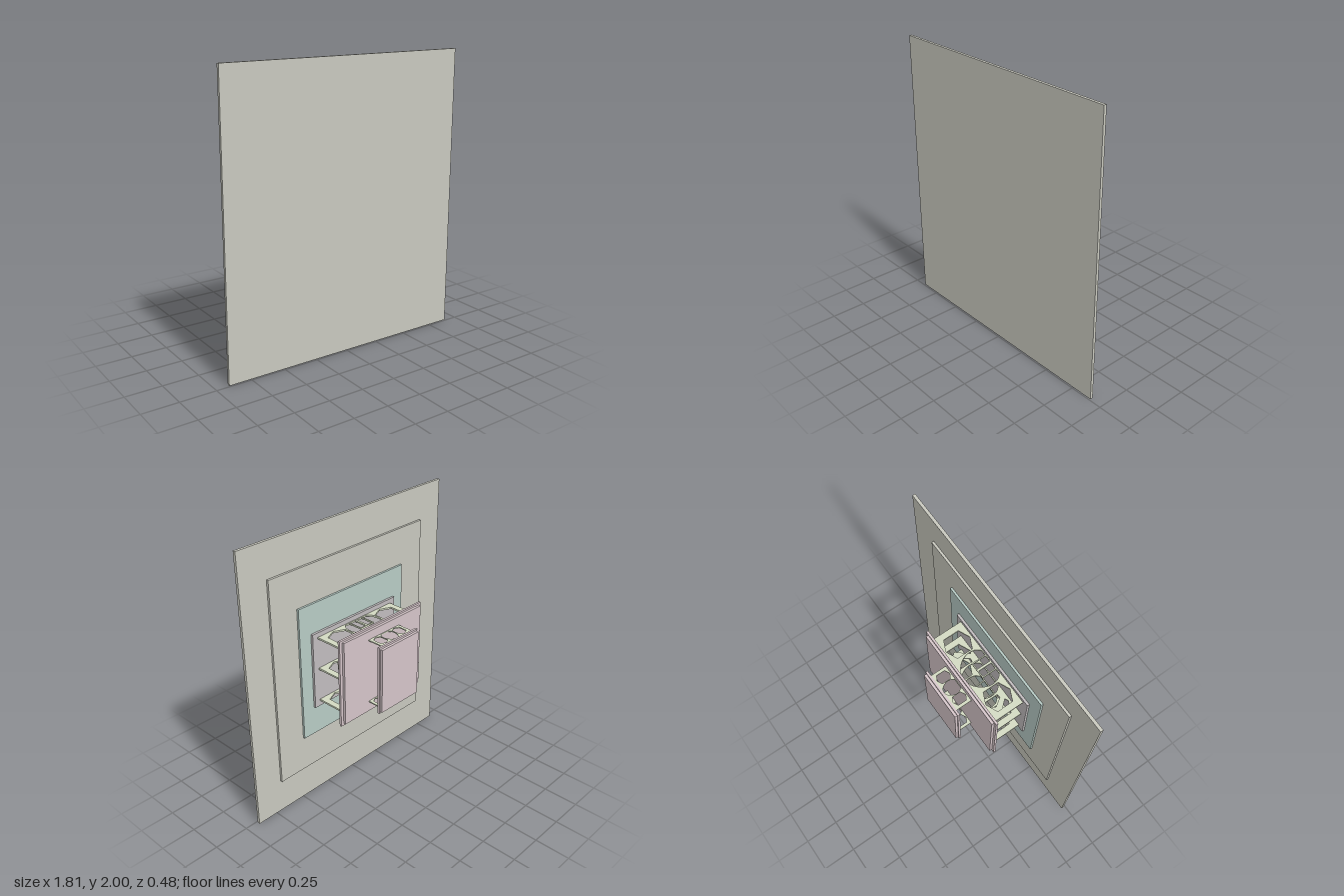
import * as THREE from 'three';

const material = (color) => new THREE.MeshStandardMaterial({ color, flatShading: true });
const stone = material(0xc9c9bf), teal = material(0xb8ccc6), mauve = material(0xc2bdbf);
const roofPink = material(0xd6c6ca), wallGreen = material(0xd3dac2);

const vectors = (pts) => pts.map(([x, y]) => new THREE.Vector2(x, y));
const mirror = (pts) => pts.map(([x, y]) => [-x, y]);
const rect = (x0, x1, h0, h1) => [[x0, h0], [x1, h0], [x1, h1], [x0, h1]];

// pointed hexagonal window, centred on x = cx
const hexagon = (cx, half, low, high, shoulder) => [
  [cx, high], [cx + half, high - shoulder], [cx + half, low + shoulder],
  [cx, low], [cx - half, low + shoulder], [cx - half, high - shoulder]];

// smooth arch from the points of its right half, bottom to crown
function arch(half) {
  const left = mirror(half).reverse().slice(1);
  const pts = [...half, ...left].map(([x, h]) => new THREE.Vector3(x, h, 0));
  return new THREE.CatmullRomCurve3(pts).getPoints(32).map((p) => [p.x, p.y]);
}

// the building rises along -z, so a wall's height h becomes z = -h
function wall(name, outline, holes, y, thickness) {
  const shape = new THREE.Shape(vectors(outline));
  holes.forEach((h) => shape.holes.push(new THREE.Path(vectors(h))));
  const geo = new THREE.ExtrudeGeometry(shape, { depth: thickness, bevelEnabled: false });
  geo.rotateX(-Math.PI / 2).translate(0, y - thickness / 2, 0);
  const mesh = new THREE.Mesh(geo, wallGreen);
  mesh.name = name;
  return mesh;
}

function slab(name, halfX, y0, y1, z0, z1, mat) {
  const mesh = new THREE.Mesh(new THREE.BoxGeometry(halfX * 2, y1 - y0, z1 - z0), mat);
  mesh.position.set(0, (y0 + y1) / 2, (z0 + z1) / 2);
  mesh.name = name;
  return mesh;
}

export function createModel() {
  const model = new THREE.Group();
  model.name = 'pavilion';

  // stepped base and the two double roofs
  model.add(
    slab('groundPlate', 0.907, 0, 2, 0.22, 0.24, stone),
    slab('lowerStep', 0.698, 0.25, 1.757, 0.204, 0.22, stone),
    slab('middleStep', 0.487, 0.51, 1.49, 0.189, 0.204, teal),
    slab('floor', 0.391, 0.722, 1.28, 0.172, 0.189, mauve),
    slab('lowerRoofEaves', 0.39, 0.684, 1.322, -0.073, -0.057, roofPink),
    slab('lowerRoofTop', 0.368, 0.7, 1.308, -0.091, -0.073, roofPink),
    slab('upperRoofEaves', 0.183, 0.753, 1.251, -0.222, -0.206, roofPink),
    slab('upperRoofTop', 0.175, 0.766, 1.237, -0.24, -0.222, roofPink));

  // lower storey: horseshoe arch between two windows
  const lowerOutline = rect(-0.348, 0.348, -0.172, 0.057);
  const lowerArch = arch([[0.1, -0.165], [0.127, -0.13], [0.133, -0.07],
    [0.105, -0.01], [0.06, 0.03], [0, 0.045]]);
  const window = hexagon(0.224, 0.08, -0.158, 0.032, 0.036);
  const windowHoles = [lowerArch, window, mirror(window)];

  // the middle wall keeps a chevron in each window
  const outerPane = [[0.2, 0.022], [0.224, 0.032], [0.304, -0.004], [0.304, -0.122],
    [0.224, -0.158], [0.2, -0.147], [0.275, -0.062]];
  const innerPane = [[0.146, -0.004], [0.172, -0.004], [0.215, -0.062],
    [0.172, -0.126], [0.146, -0.122]];
  const chevronHoles = [lowerArch, outerPane, innerPane, mirror(outerPane), mirror(innerPane)];

  // double door frame standing in each outer arch
  const doorOutline = rect(-0.062, 0.062, -0.172, -0.058);
  const leaf = rect(0.008, 0.054, -0.169, -0.066);

  for (const y of [0.767, 1.241]) {
    model.add(wall('lowerWall', lowerOutline, windowHoles, y, 0.013));
    model.add(wall('doorFrame', doorOutline, [leaf, mirror(leaf)], y, 0.011));
  }
  model.add(wall('middleWall', lowerOutline, chevronHoles, 1.011, 0.013));

  // upper storey
  const upperOutline = rect(-0.145, 0.145, 0.091, 0.206);
  const upperArch = arch([[0.036, 0.095], [0.051, 0.125], [0.05, 0.155], [0.03, 0.19], [0, 0.202]]);
  const upperWindow = hexagon(0.09, 0.034, 0.097, 0.195, 0.018);
  for (const y of [0.774, 1.242]) {
    model.add(wall('upperWall', upperOutline, [upperArch, upperWindow, mirror(upperWindow)], y, 0.008));
  }
  return model;
}
